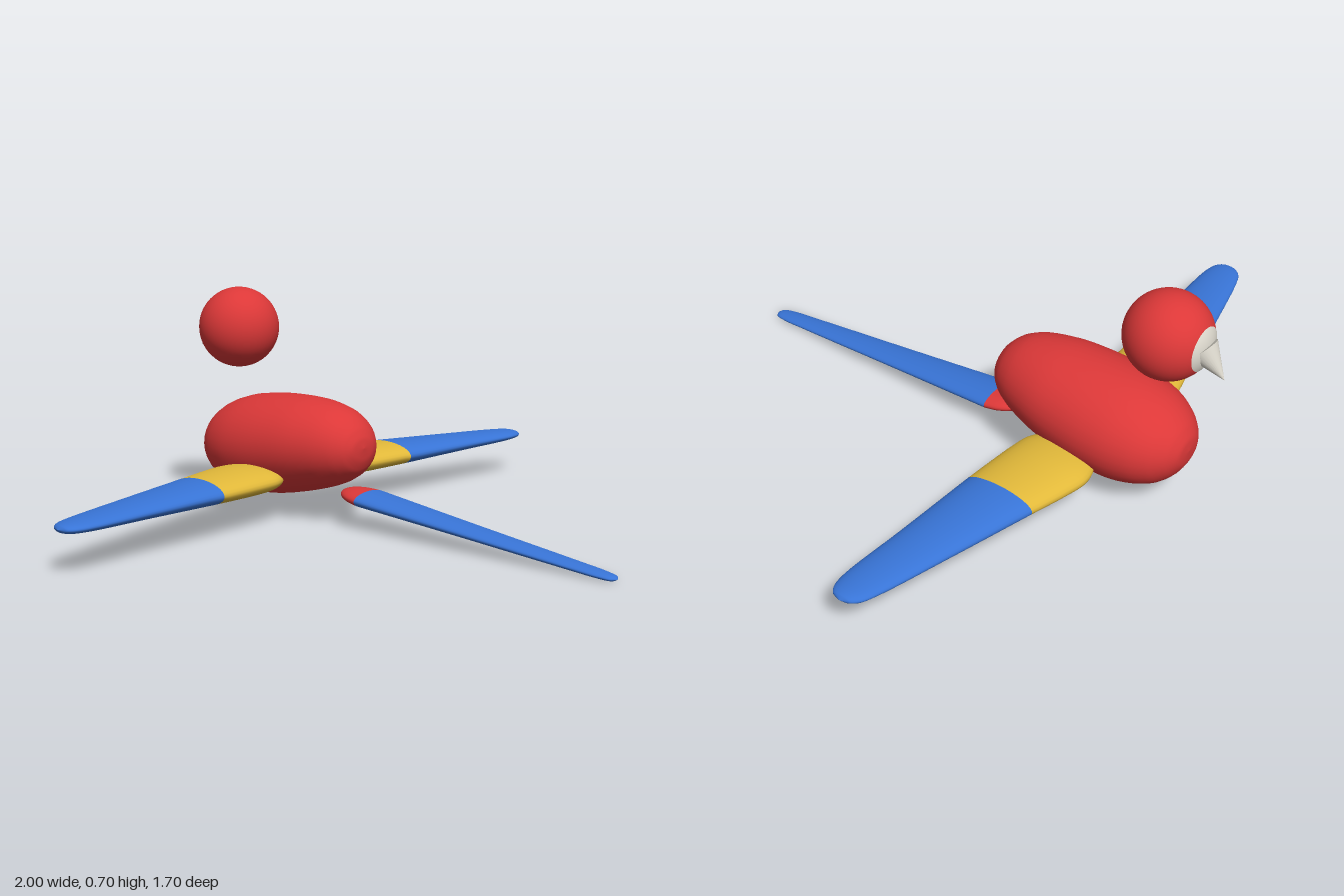
import * as THREE from 'three';

const mat = (name, color) => Object.assign(new THREE.MeshStandardMaterial({ color }), { name });

// Smooth skin over elliptical rings [z, cx, cy, halfWidth, halfHeight], ordered by rising z
function loft(stations, steps = 5, sides = 32) {
  const centre = new THREE.CatmullRomCurve3(stations.map(([z, x, y]) => new THREE.Vector3(x, y, z)));
  const radii = new THREE.CatmullRomCurve3(stations.map(([z, , , w, h]) => new THREE.Vector3(w, h, z)));
  const rings = (stations.length - 1) * steps;
  const pos = [], index = [];
  for (let k = 0; k <= rings; k++) {
    const c = centre.getPoint(k / rings), r = radii.getPoint(k / rings);
    for (let i = 0; i < sides; i++) {
      const a = (i / sides) * Math.PI * 2;
      pos.push(c.x + Math.max(r.x, 0) * Math.cos(a), c.y + Math.max(r.y, 0) * Math.sin(a), c.z);
      if (k === rings) continue;
      const j = (i + 1) % sides, p = k * sides, q = p + sides;
      index.push(p + i, p + j, q + j, p + i, q + j, q + i);
    }
  }
  const geo = new THREE.BufferGeometry();
  geo.setAttribute('position', new THREE.Float32BufferAttribute(pos, 3));
  geo.setIndex(index);
  geo.computeVertexNormals();
  return geo;
}

export function createModel() {
  const red = mat('red plumage', 0xdc3838);
  const blue = mat('blue feathers', 0x3874d6);
  const yellow = mat('yellow feathers', 0xe2b93a);
  const pale = mat('pale beak', 0xdedacf);

  const model = new THREE.Group();
  model.name = 'bird';
  const add = (name, geo, material, parent = model) => {
    const mesh = new THREE.Mesh(geo, material);
    mesh.name = name;
    parent.add(mesh);
    return mesh;
  };

  // Body: z, top, bottom, half width
  const bodyProfile = [
    [-0.76, 0.21, 0.21, 0], [-0.755, 0.245, 0.165, 0.05], [-0.735, 0.28, 0.125, 0.09],
    [-0.70, 0.312, 0.09, 0.127], [-0.65, 0.34, 0.066, 0.157], [-0.58, 0.362, 0.051, 0.178],
    [-0.50, 0.374, 0.05, 0.185], [-0.40, 0.38, 0.063, 0.18], [-0.30, 0.378, 0.086, 0.165],
    [-0.20, 0.36, 0.117, 0.133], [-0.15, 0.335, 0.143, 0.105], [-0.12, 0.305, 0.17, 0.075],
    [-0.105, 0.275, 0.205, 0.045], [-0.10, 0.245, 0.245, 0],
  ];
  add('body', loft(bodyProfile.map(([z, t, b, w]) => [z, 0, (t + b) / 2, w, (t - b) / 2])), red);

  // Head with a pale face patch and a downturned conical beak
  const head = new THREE.Group();
  head.name = 'head';
  head.position.set(0, 0.575, -0.662);
  model.add(head);
  add('skull', new THREE.SphereGeometry(0.13, 40, 28), red, head);
  const patch = new THREE.SphereGeometry(0.132, 32, 10, 0, Math.PI * 2, 0, 0.53);
  add('facePatch', patch.rotateX(-Math.PI / 2), pale, head);
  const beak = add('beak', new THREE.ConeGeometry(0.047, 0.105, 28), pale, head);
  const tip = new THREE.Vector3(0, -0.075, -0.185), base = new THREE.Vector3(0, 0.001, -0.11);
  beak.position.copy(tip).add(base).multiplyScalar(0.5);
  beak.quaternion.setFromUnitVectors(new THREE.Vector3(0, 1, 0), tip.clone().sub(base).normalize());

  // Wings: span position, chord centre z, half chord, half thickness
  const innerWing = [
    [0.09, -0.425, 0, 0], [0.10, -0.425, 0.06, 0.02], [0.13, -0.425, 0.1, 0.033],
    [0.17, -0.425, 0.122, 0.041], [0.22, -0.425, 0.13, 0.044], [0.30, -0.414, 0.126, 0.043],
    [0.415, -0.395, 0.115, 0.039],
  ];
  const outerWing = [
    [0.415, -0.395, 0.115, 0.039], [0.7, -0.353, 0.085, 0.028], [0.92, -0.3185, 0.0615, 0.019],
    [0.97, -0.3125, 0.0475, 0.015], [0.99, -0.31, 0.03, 0.01], [1, -0.31, 0, 0],
  ];
  for (const [name, s] of [['leftWing', 1], ['rightWing', -1]]) {
    const wing = new THREE.Group();
    wing.name = name;
    model.add(wing);
    const skin = (rows) => loft(rows.map(([x, z, c, t]) => [x, -s * z, 0.133, c, t])).rotateY(s * Math.PI / 2);
    add('innerWing', skin(innerWing), yellow, wing);
    add('outerWing', skin(outerWing), blue, wing);
  }

  // Tail, sloping down to the ground: z, half width, half height
  const tailSkin = (rows) => loft(rows.map(([z, w, h]) => [z, 0, 0.097 - 0.09 * (z + 0.15), w, h]));
  add('tailBase', tailSkin([
    [-0.18, 0, 0], [-0.172, 0.03, 0.012], [-0.15, 0.05, 0.019], [-0.12, 0.064, 0.023], [-0.078, 0.072, 0.025],
  ]), red);
  add('tailFeathers', tailSkin([
    [-0.078, 0.072, 0.025], [0.3, 0.053, 0.018], [0.7, 0.034, 0.012],
    [0.8, 0.028, 0.01], [0.838, 0.019, 0.007], [0.85, 0, 0],
  ]), blue);

  return model;
}
